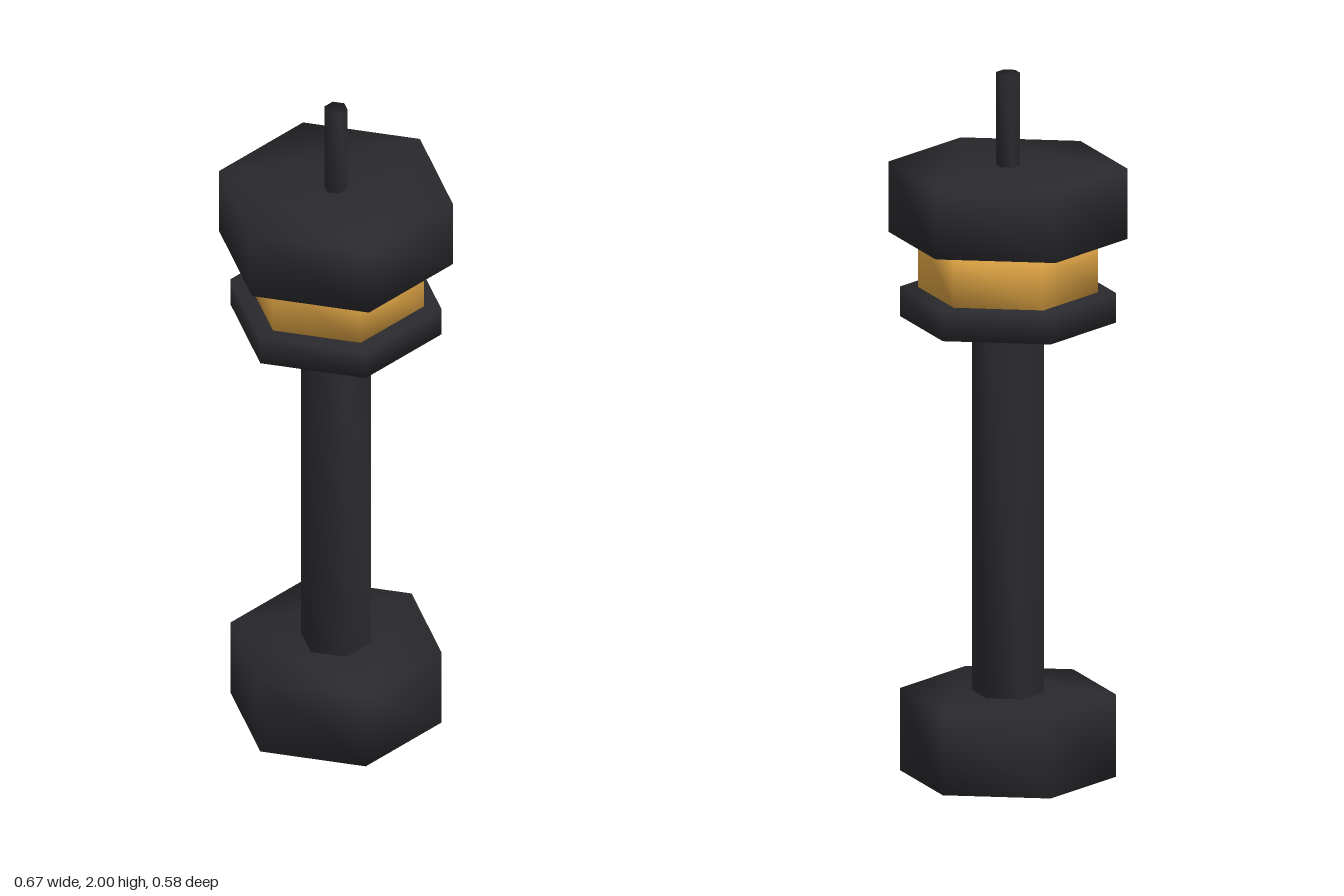
import * as THREE from 'three';
import { mergeVertices } from 'three/addons/utils/BufferGeometryUtils.js';

// Closed hexagonal prism with corners on the x axis and shared, smoothed corners
function hexPrism(radius, bottom, top) {
  const corners = [];
  for (let i = 0; i < 6; i++) {
    const a = (i * Math.PI) / 3;
    corners.push(new THREE.Vector2(radius * Math.cos(a), radius * Math.sin(a)));
  }
  let geometry = new THREE.ExtrudeGeometry(new THREE.Shape(corners), {
    depth: top - bottom,
    bevelEnabled: false,
  });
  geometry.rotateX(-Math.PI / 2);
  geometry.translate(0, bottom, 0);
  geometry.deleteAttribute('normal');
  geometry.deleteAttribute('uv');
  geometry = mergeVertices(geometry);
  geometry.computeVertexNormals();
  return geometry;
}

export function createModel() {
  const group = new THREE.Group();
  group.name = 'lampPost';
  const dark = new THREE.MeshStandardMaterial({ color: 0x2a2a2e });
  const amber = new THREE.MeshStandardMaterial({ color: 0xe0a545 });

  // Stacked parts: name, radius, bottom, top, material
  const parts = [
    ['base', 0.3, 0, 0.235, dark],
    ['post', 0.1, 0.235, 1.295, dark],
    ['collar', 0.3, 1.295, 1.38, dark],
    ['lantern', 0.25, 1.38, 1.535, amber],
    ['roof', 0.333, 1.535, 1.735, dark],
    ['finial', 0.033, 1.735, 2, dark],
  ];
  for (const [name, radius, bottom, top, material] of parts) {
    const mesh = new THREE.Mesh(hexPrism(radius, bottom, top), material);
    mesh.name = name;
    group.add(mesh);
  }
  return group;
}
